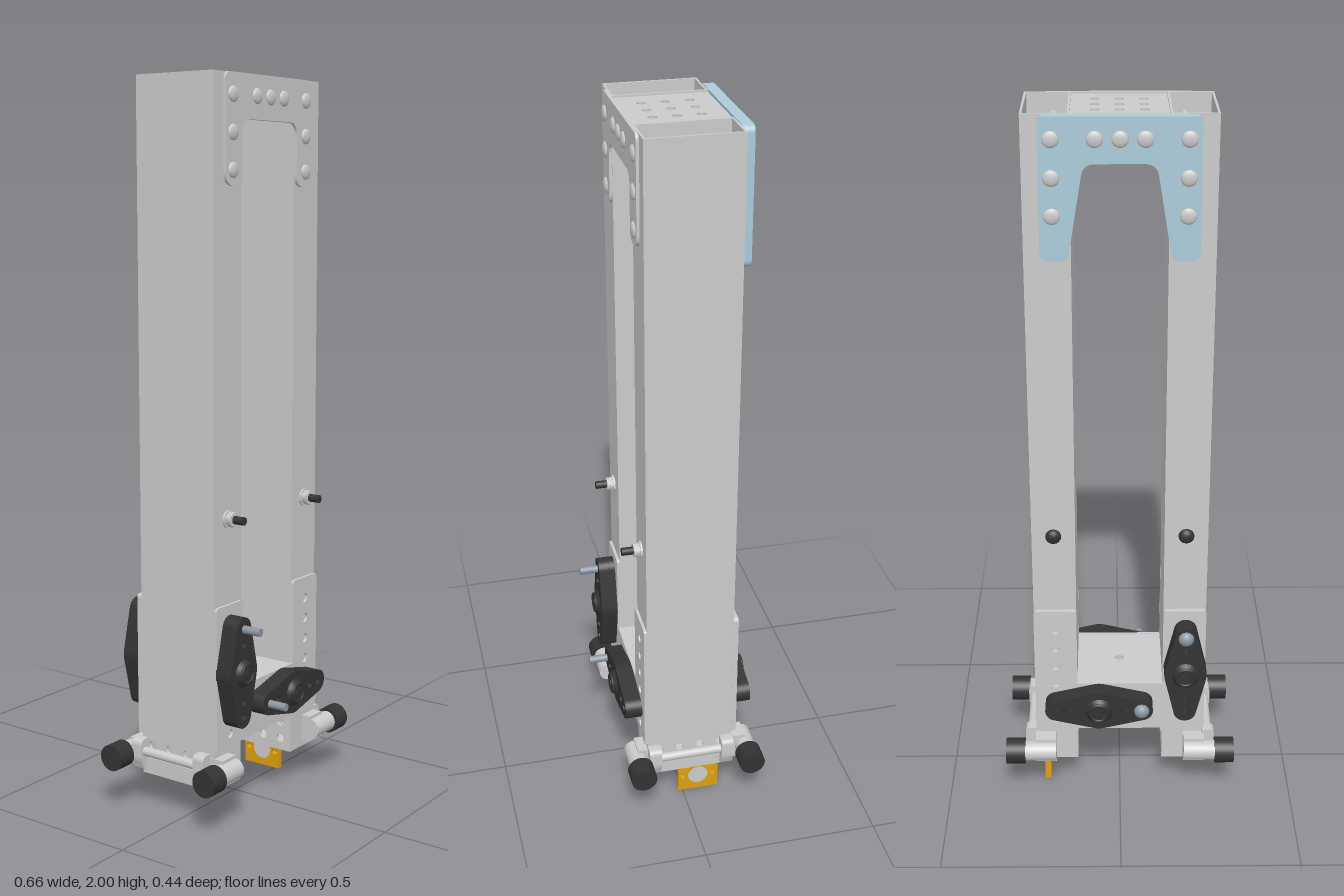
import * as THREE from 'three';

const mat = (color) => new THREE.MeshStandardMaterial({ color, side: THREE.DoubleSide });
const grey = mat(0xcccccc), dark = mat(0x333333), blue = mat(0xaccbd9);
const yellow = mat(0xdda010), steel = mat(0x8a98a4);

const ZC = -0.015;          // middle of the tubes front to back
const TX = 0.1825;          // tube centre line
const FRONT = 0.11, BACK = -0.14;

function add(parent, name, geo, material, x = 0, y = 0, z = 0) {
  const m = new THREE.Mesh(geo, material);
  m.name = name;
  m.position.set(x, y, z);
  parent.add(m);
  return m;
}
const box = (w, h, d) => new THREE.BoxGeometry(w, h, d);
const cylZ = (r, len, n = 20, r2 = r) => new THREE.CylinderGeometry(r, r2, len, n).rotateX(Math.PI / 2);
const cylX = (r, len, n = 24) => new THREE.CylinderGeometry(r, r, len, n).rotateZ(Math.PI / 2);

// Polygon with rounded corners: points are [x, y, radius]
function outline(pts) {
  const s = new THREE.Shape();
  pts.forEach(([x, y, r = 0], i) => {
    const p = new THREE.Vector2(x, y);
    const toward = (q) => new THREE.Vector2(q[0], q[1]).sub(p).setLength(r).add(p);
    const a = toward(pts[(i + pts.length - 1) % pts.length]);
    const b = toward(pts[(i + 1) % pts.length]);
    if (i) s.lineTo(a.x, a.y); else s.moveTo(a.x, a.y);
    if (r) s.quadraticCurveTo(x, y, b.x, b.y);
  });
  s.closePath();
  return s;
}
const rect = (w, h, r = 0) => outline([[-w / 2, -h / 2, r], [w / 2, -h / 2, r], [w / 2, h / 2, r], [-w / 2, h / 2, r]]);
function punch(shape, holes, r) {
  for (const [x, y] of holes) shape.holes.push(new THREE.Path().absarc(x, y, r, 0, Math.PI * 2, true));
  return shape;
}
const extrude = (shape, depth) => new THREE.ExtrudeGeometry(shape, { depth, bevelEnabled: false, curveSegments: 10 });
const extrudeUp = (shape, depth) => extrude(shape, depth).rotateX(-Math.PI / 2);
function grid(xs, ys) {
  return xs.flatMap((x) => ys.map((y) => [x, y]));
}

// Domed screw or rivet head; dir is +1 facing front, -1 facing back
function dome(parent, name, r, h, material, x, y, z, dir) {
  const g = new THREE.SphereGeometry(r, 16, 6, 0, Math.PI * 2, 0, Math.PI / 2).scale(1, h / r, 1).rotateX(dir * Math.PI / 2);
  add(parent, name, g, material, x, y, z);
}

// Diamond flange bearing, base at z = 0, facing +z
function flangeBearing() {
  const g = new THREE.Group();
  g.name = 'flangeBearing';
  const R = 0.06, r = 0.032, d = 0.122, a = Math.acos((R - r) / d);
  const s = new THREE.Shape();
  s.absarc(d, 0, r, -a, a, false);
  s.absarc(0, 0, R, a, Math.PI - a, false);
  s.absarc(-d, 0, r, Math.PI - a, Math.PI + a, false);
  s.absarc(0, 0, R, Math.PI + a, 2 * Math.PI - a, false);
  punch(s, [[d, 0], [-d, 0], [-0.08, 0], [0.08, 0]], 0.011);
  add(g, 'flange', extrude(s, 0.05), dark);
  add(g, 'bearingCollar', cylZ(0.028, 0.02, 24, 0.045), dark, 0, 0, 0.053);
  add(g, 'bearingRing', new THREE.TorusGeometry(0.026, 0.005, 8, 24), dark, 0, 0, 0.061);
  add(g, 'bearingBore', cylZ(0.013, 0.012), dark, 0, 0, 0.06);
  return g;
}

// Hollow upright with cross bolt
function upright(side) {
  const g = new THREE.Group();
  g.name = side > 0 ? 'leftUpright' : 'rightUpright';
  const profile = rect(0.12, 0.25);
  profile.holes.push(rect(0.108, 0.238));
  add(g, 'tube', extrudeUp(profile, 1.79), grey, 0, 0.21, ZC);
  add(g, 'crossBolt', cylZ(0.011, 0.31), dark, 0, 0.845, 0.01);
  add(g, 'washer', cylZ(0.024, 0.006), grey, 0, 0.845, FRONT + 0.003);
  add(g, 'nut', cylZ(0.021, 0.018, 6), grey, 0, 0.845, FRONT + 0.014);
  dome(g, 'boltHead', 0.022, 0.016, dark, 0, 0.845, BACK, -1);
  // Perforated foot box
  const zs = [-0.09, -0.03, 0.03, 0.09];
  add(g, 'footBase', extrudeUp(punch(rect(0.12, 0.25), grid([-0.03, 0.03], zs), 0.012), 0.01), grey, 0, 0.1, ZC);
  for (const s of [-1, 1]) {
    const wall = extrude(punch(rect(0.25, 0.11), grid(zs, [-0.025, 0.025]), 0.012), 0.008).rotateY(Math.PI / 2);
    add(g, 'footSide', wall, grey, s * 0.056 - 0.004, 0.16, ZC);
    add(g, 'footEnd', box(0.12, 0.11, 0.008), grey, 0, 0.16, ZC + s * 0.121);
  }
  g.position.x = side * TX;
  return g;
}

// Pair of rubber rollers clamped to the foot, built for +x and turned for -x
function rollerSet(side) {
  const g = new THREE.Group();
  g.name = side > 0 ? 'leftRollers' : 'rightRollers';
  for (const s of [-1, 1]) {
    const zr = -0.022 + s * 0.16;
    add(g, 'roller', cylX(0.037, 0.055, 32), dark, 0.3025, 0.157, zr);
    add(g, 'rollerArm', cylX(0.029, 0.09), grey, 0.231, 0.157, zr);
    add(g, 'armBlock', box(0.06, 0.075, 0.045), grey, 0.215, 0.157, zr - s * 0.022);
    const clamp = outline([[0.24, 0.115], [0.262, 0.115, 0.008], [0.276, 0.15, 0.01], [0.276, 0.205, 0.017], [0.24, 0.205]]);
    add(g, 'clamp', extrude(clamp, 0.035), grey, 0, 0, ZC + s * 0.107 - 0.0175);
  }
  add(g, 'clampRod', cylX(0.013, 0.2).rotateY(Math.PI / 2), grey, 0.258, 0.17, ZC);
  add(g, 'clampPlate', box(0.008, 0.03, 0.18), grey, 0.247, 0.135, ZC);
  if (side < 0) {
    g.rotation.y = Math.PI;
    g.position.z = -0.044;
  }
  return g;
}

export function createModel() {
  const model = new THREE.Group();
  model.name = 'liftFrame';
  for (const s of [-1, 1]) model.add(upright(s), rollerSet(s));

  // Top bridge: perforated web with downward flanges
  const top = new THREE.Group();
  top.name = 'topBridge';
  model.add(top);
  const nine = grid([-0.0615, 0, 0.0615], [-0.0615, 0, 0.0615]);
  add(top, 'topWeb', extrudeUp(punch(rect(0.245, 0.25), nine, 0.0125), 0.01), grey, 0, 1.985, ZC);
  add(top, 'frontWall', box(0.245, 0.11, 0.008), grey, 0, 1.94, FRONT - 0.004);
  add(top, 'backWall', box(0.245, 0.11, 0.008), grey, 0, 1.94, BACK + 0.004);

  // Gusset plates
  const frontGusset = outline([[-0.2, 2, 0.02], [-0.2, 1.715, 0.035], [-0.125, 1.715, 0.03], [-0.125, 1.885, 0.035],
    [0.125, 1.885, 0.035], [0.125, 1.715, 0.03], [0.2, 1.715, 0.035], [0.2, 2, 0.02]]);
  const backGusset = outline([[-0.2, 2, 0.02], [-0.2, 1.64, 0.025], [-0.13, 1.64, 0.02], [-0.09, 1.885, 0.03],
    [0.09, 1.885, 0.03], [0.13, 1.64, 0.02], [0.2, 1.64, 0.025], [0.2, 2, 0.02]]);
  add(top, 'frontGusset', extrude(frontGusset, 0.008), grey, 0, 0, FRONT);
  add(top, 'backGusset', extrude(backGusset, 0.03), blue, 0, 0, -0.172);
  const rivets = [...grid([-0.168, 0.168], [1.945, 1.85, 1.755]), ...grid([-0.0615, 0, 0.0615], [1.945])];
  for (const [x, y] of rivets) {
    dome(top, 'frontRivet', 0.021, 0.008, grey, x, y, FRONT + 0.008, 1);
    dome(top, 'backRivet', 0.021, 0.008, grey, x, y, -0.172, -1);
    add(top, 'rivetShank', cylZ(0.01, 0.05, 12), grey, x, y, FRONT - 0.03);
    add(top, 'rivetShank', cylZ(0.01, 0.03, 12), grey, x, y, BACK + 0.015);
  }

  // Lower bracket: web with a U-shaped plate front and back
  const lower = new THREE.Group();
  lower.name = 'lowerBracket';
  model.add(lower);
  const u = () => punch(outline([[-0.243, 0.215], [0.243, 0.215], [0.243, 0.612, 0.012], [0.122, 0.612, 0.012], [0.122, 0.37],
    [-0.122, 0.37], [-0.122, 0.612, 0.012], [-0.243, 0.612, 0.012]]),
  grid([-0.183, 0.183], [0.25, 0.31, 0.37, 0.43, 0.49, 0.55]), 0.013);
  add(lower, 'frontPlate', extrude(u(), 0.008), grey, 0, 0, FRONT);
  add(lower, 'backPlate', extrude(u(), 0.014), grey, 0, 0, BACK - 0.014);
  add(lower, 'bracketWeb', extrudeUp(punch(rect(0.245, 0.25), [[0, 0]], 0.0125), 0.01), grey, 0, 0.358, ZC);

  // Flange bearings and their bolts on both faces
  for (const dir of [1, -1]) {
    const z = dir > 0 ? FRONT + 0.006 : BACK - 0.014;
    for (const [x, y, upright] of [[-0.185, 0.43, true], [0.06, 0.31, false]]) {
      const b = flangeBearing();
      b.position.set(x, y, z);
      if (dir < 0) b.rotation.y = Math.PI;
      if (upright) b.rotation.z = Math.PI / 2;
      model.add(b);
    }
  }
  for (const [x, y] of [[-0.185, 0.552], [-0.062, 0.31]]) {
    add(model, 'bearingBolt', cylZ(0.011, 0.42), steel, x, y, 0.01);
    dome(model, 'bearingBoltHead', 0.022, 0.018, steel, x, y, -0.204, -1);
  }

  // Sensor on an angle bracket under the left foot
  const sensor = new THREE.Group();
  sensor.name = 'sensorBracket';
  model.add(sensor);
  const face = punch(punch(rect(0.12, 0.1), [[0, 0]], 0.03), [[-0.046, 0], [0.046, 0]], 0.009);
  add(sensor, 'sensorPlate', extrude(face, 0.018).rotateY(Math.PI / 2), yellow, 0.205, 0.05, -0.047);
  add(sensor, 'sensorFlange', box(0.06, 0.016, 0.12), yellow, 0.194, 0.092, -0.047);
  add(sensor, 'sensorDisc', cylX(0.03, 0.016), grey, 0.214, 0.05, -0.047);
  return model;
}
